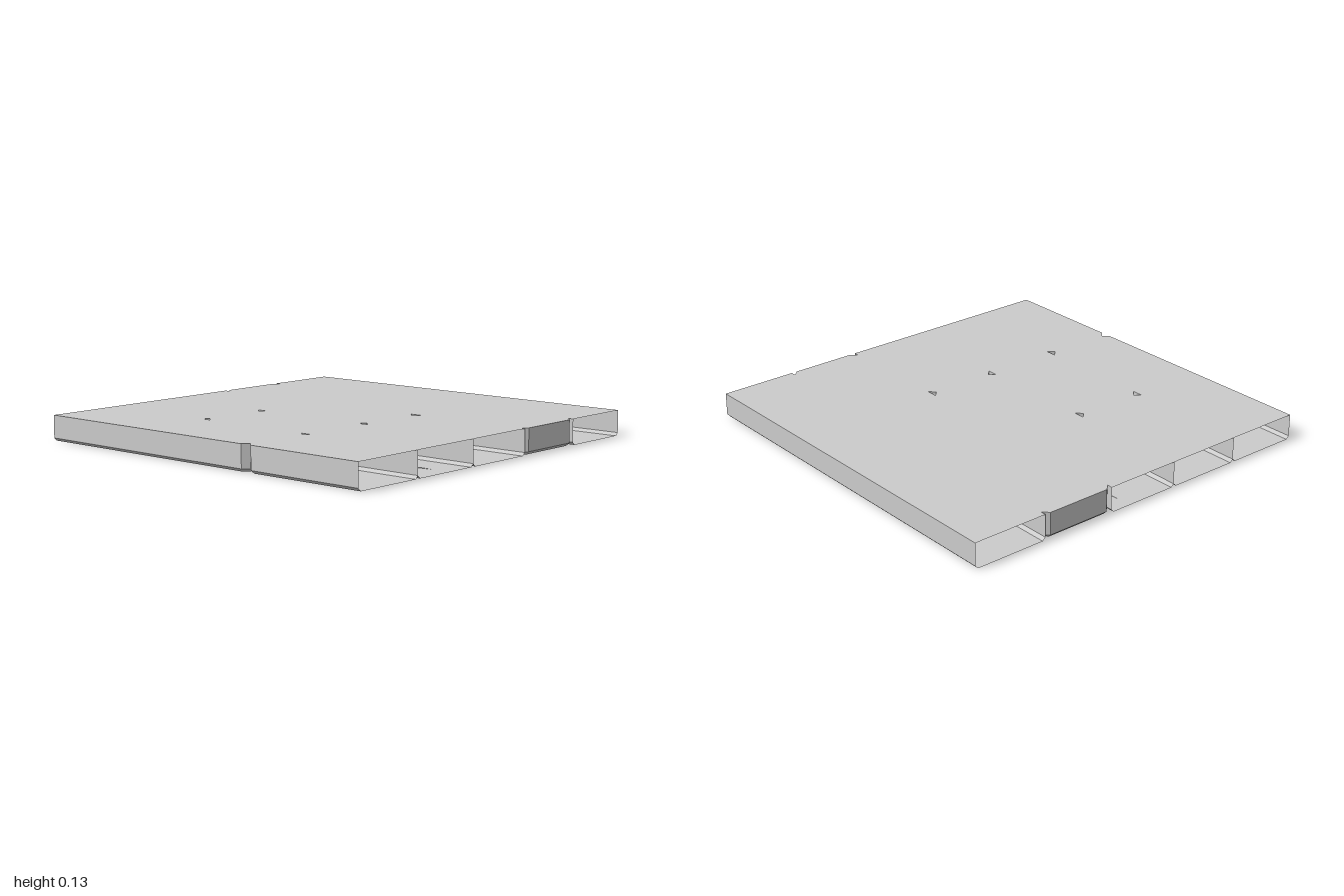
import * as THREE from 'three';

const TOP = 0.13, BEVEL = 0.015, CUT = 0.03, GROOVE = 0.009, ROW = 0.4;

const material = new THREE.MeshStandardMaterial({
  color: 0xcccccc, flatShading: true, side: THREE.DoubleSide,
});

// Planks: row index from the back, start x, end x, closed start, closed end
const planks = [
  [0, -1, 1, false, false],
  [1, -1, 1, true, true],
  [2, -1, 1 / 3, false, true],
  [2, 1 / 3, 1, true, false],
  [3, -1, -1 / 3, false, true],
  [3, -1 / 3, 1, true, false],
  [4, -1, 1 / 3, false, true],
  [4, 1 / 3, 1, true, false],
];

// Grain grooves in the underside: x and z of both ends
const grooves = [
  [0.46, -0.67, -0.31, -0.71],
  [0.94, -0.53, 0.25, -0.49],
  [0.88, -0.28, 0.65, -0.29],
  [-0.85, -0.285, -0.97, -0.28],
  [0.66, -0.09, 0.36, -0.065],
  [0.51, 0.12, 0.36, 0.13],
  [0.29, -0.12, -0.58, -0.05],
  [0.21, -0.03, -0.32, -0.04],
  [-0.57, -0.1, -0.92, -0.085],
  [0.09, 0.13, -0.37, 0.16],
  [0.9, 0.376, 0.43, 0.42],
  [0.06, 0.29, -0.28, 0.295],
  [-0.38, 0.53, -0.77, 0.54],
  [0.02, 0.67, -0.42, 0.68],
];

// Plank outline in x and z; only closed ends have cut corners
function outline(x0, x1, z0, z1, closed0, closed1, inset) {
  const cut = CUT - inset * 0.6;
  const c0 = closed0 ? cut : 0, c1 = closed1 ? cut : 0;
  const a = x0 + (closed0 ? inset : 0), b = x1 - (closed1 ? inset : 0);
  const n = z0 + inset, f = z1 - inset;
  return [
    [a + c0, n], [b - c1, n], [b, n + c1], [b, f - c1],
    [b - c1, f], [a + c0, f], [a, f - c0], [a, n + c0],
  ].map(([x, z]) => new THREE.Vector2(x, z));
}

// Thin diamond-shaped rim of a groove
function grooveRim([xa, za, xb, zb]) {
  const a = new THREE.Vector2(xa, za), b = new THREE.Vector2(xb, zb);
  const mid = a.clone().add(b).multiplyScalar(0.5);
  const side = new THREE.Vector2(za - zb, xb - xa).normalize().multiplyScalar(0.006);
  return [a, mid.clone().sub(side), b, mid.clone().add(side)];
}

function mesh(name, geometry) {
  geometry.computeVertexNormals();
  const m = new THREE.Mesh(geometry, material);
  m.name = name;
  return m;
}

function fromTriangles(points) {
  return new THREE.BufferGeometry().setFromPoints(points);
}

function makePlank([row, x0, x1, closed0, closed1]) {
  const group = new THREE.Group();
  group.name = 'plank';
  const z0 = -1 + row * ROW, z1 = z0 + ROW;
  const outer = outline(x0, x1, z0, z1, closed0, closed1, 0);
  const inner = outline(x0, x1, z0, z1, closed0, closed1, BEVEL);
  const at = (p, y) => new THREE.Vector3(p.x, y, p.y);

  // Side walls and bevels, leaving the open ends empty
  const walls = [];
  outer.forEach((p, i) => {
    const j = (i + 1) % outer.length;
    if ((i === 2 && !closed1) || (i === 6 && !closed0)) return;
    if (p.distanceTo(outer[j]) < 1e-6) return;
    const rings = [[inner, 0], [outer, BEVEL], [outer, TOP]];
    for (let k = 0; k < 2; k++) {
      const [low, yl] = rings[k], [high, yh] = rings[k + 1];
      const a = at(low[i], yl), b = at(high[i], yh), c = at(high[j], yh), d = at(low[j], yl);
      walls.push(a, b, c, a, c, d);
    }
  });
  group.add(mesh('plankSides', fromTriangles(walls)));

  // Flat top
  const top = [];
  for (let i = 1; i < outer.length - 1; i++) {
    top.push(at(outer[0], TOP), at(outer[i + 1], TOP), at(outer[i], TOP));
  }
  group.add(mesh('plankTop', fromTriangles(top)));

  // Underside with openings for the grooves
  const rims = grooves
    .filter(([xa, za]) => xa > x0 && xa < x1 && za > z0 && za < z1)
    .map(grooveRim);
  const shape = new THREE.Shape(inner.filter((p, i) => p.distanceTo(inner[(i + 1) % 8]) > 1e-6));
  shape.holes = rims.map((rim) => new THREE.Path(rim));
  group.add(mesh('plankFace', new THREE.ShapeGeometry(shape).rotateX(Math.PI / 2)));

  // Recessed groove sides
  const cracks = [];
  for (const rim of rims) {
    const mid = rim[0].clone().add(rim[2]).multiplyScalar(0.5);
    rim.forEach((p, i) => cracks.push(at(p, 0), at(rim[(i + 1) % 4], 0), at(mid, GROOVE)));
  }
  if (cracks.length) group.add(mesh('grainGrooves', fromTriangles(cracks)));
  return group;
}

export function createModel() {
  const model = new THREE.Group();
  model.name = 'plankPanel';
  for (const plank of planks) model.add(makePlank(plank));
  return model;
}
